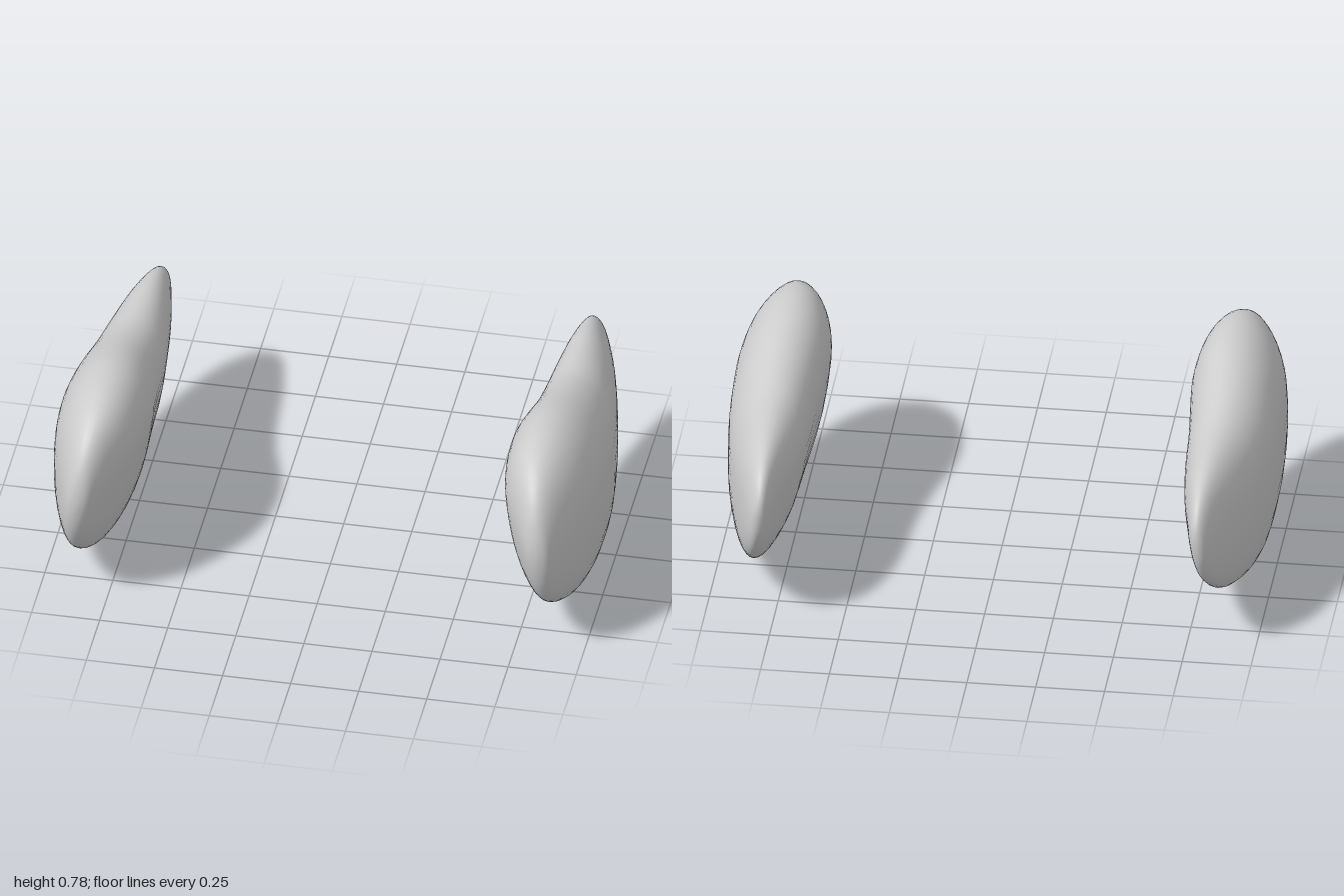
import * as THREE from 'three';
import { mergeVertices } from 'three/addons/utils/BufferGeometryUtils.js';

// Stations from front to back: z, top, bottom, centre x, half width
const stations = [
  [0.70, 0.45, 0.45, 0.845, 0],
  [0.69, 0.53, 0.37, 0.845, 0.032],
  [0.66, 0.615, 0.285, 0.842, 0.056],
  [0.60, 0.695, 0.205, 0.836, 0.088],
  [0.50, 0.755, 0.13, 0.828, 0.13],
  [0.38, 0.782, 0.07, 0.827, 0.158],
  [0.24, 0.778, 0.025, 0.828, 0.168],
  [0.12, 0.75, 0.005, 0.832, 0.163],
  [0.00, 0.71, 0.002, 0.835, 0.155],
  [-0.10, 0.68, 0.013, 0.832, 0.146],
  [-0.20, 0.66, 0.04, 0.828, 0.136],
  [-0.35, 0.653, 0.095, 0.821, 0.113],
  [-0.47, 0.645, 0.155, 0.815, 0.09],
  [-0.58, 0.618, 0.23, 0.809, 0.062],
  [-0.65, 0.575, 0.295, 0.804, 0.042],
  [-0.69, 0.515, 0.37, 0.80, 0.022],
  [-0.70, 0.45, 0.45, 0.80, 0],
];

// Smooth curves through the stations, sharing one parameter
const spline = (pick) => new THREE.CatmullRomCurve3(
  stations.map((s) => new THREE.Vector3(...pick(s))), false, 'catmullrom', 0.5);
const heights = spline(([z, top, bottom]) => [z, top, bottom]);
const widths = spline(([z, , , centre, half]) => [z, centre, half]);

// Egg-shaped sections, fuller at the top, leaning outwards at the bottom
function podGeometry(side) {
  const rows = 48, cols = 40;
  const positions = [], indices = [];
  for (let i = 0; i <= rows; i++) {
    const { x: z, y: top, z: bottom } = heights.getPoint(i / rows);
    const { y: centre, z: half } = widths.getPoint(i / rows);
    const fullness = 0.5 + 0.18 * Math.sqrt(Math.max(0, 1 - (z / 0.7) ** 2));
    const waist = bottom + (top - bottom) * fullness;
    for (let j = 0; j < cols; j++) {
      const a = (j / cols) * Math.PI * 2;
      const c = Math.cos(a);
      const y = waist + c * (c > 0 ? top - waist : waist - bottom);
      const lean = 0.09 * (waist - y);
      positions.push(side * (centre + lean) + half * Math.sin(a), y, z);
      if (i < rows) {
        const p = i * cols + j, q = i * cols + (j + 1) % cols;
        indices.push(p, q, p + cols, q, q + cols, p + cols);
      }
    }
  }
  let geometry = new THREE.BufferGeometry();
  geometry.setAttribute('position', new THREE.Float32BufferAttribute(positions, 3));
  geometry.setIndex(indices);
  geometry = mergeVertices(geometry, 1e-5);
  geometry.computeVertexNormals();
  return geometry;
}

export function createModel() {
  const group = new THREE.Group();
  const material = new THREE.MeshStandardMaterial({ color: 0xcccccc });
  for (const [name, side] of [['leftPod', 1], ['rightPod', -1]]) {
    const pod = new THREE.Mesh(podGeometry(side), material);
    pod.name = name;
    group.add(pod);
  }
  return group;
}
